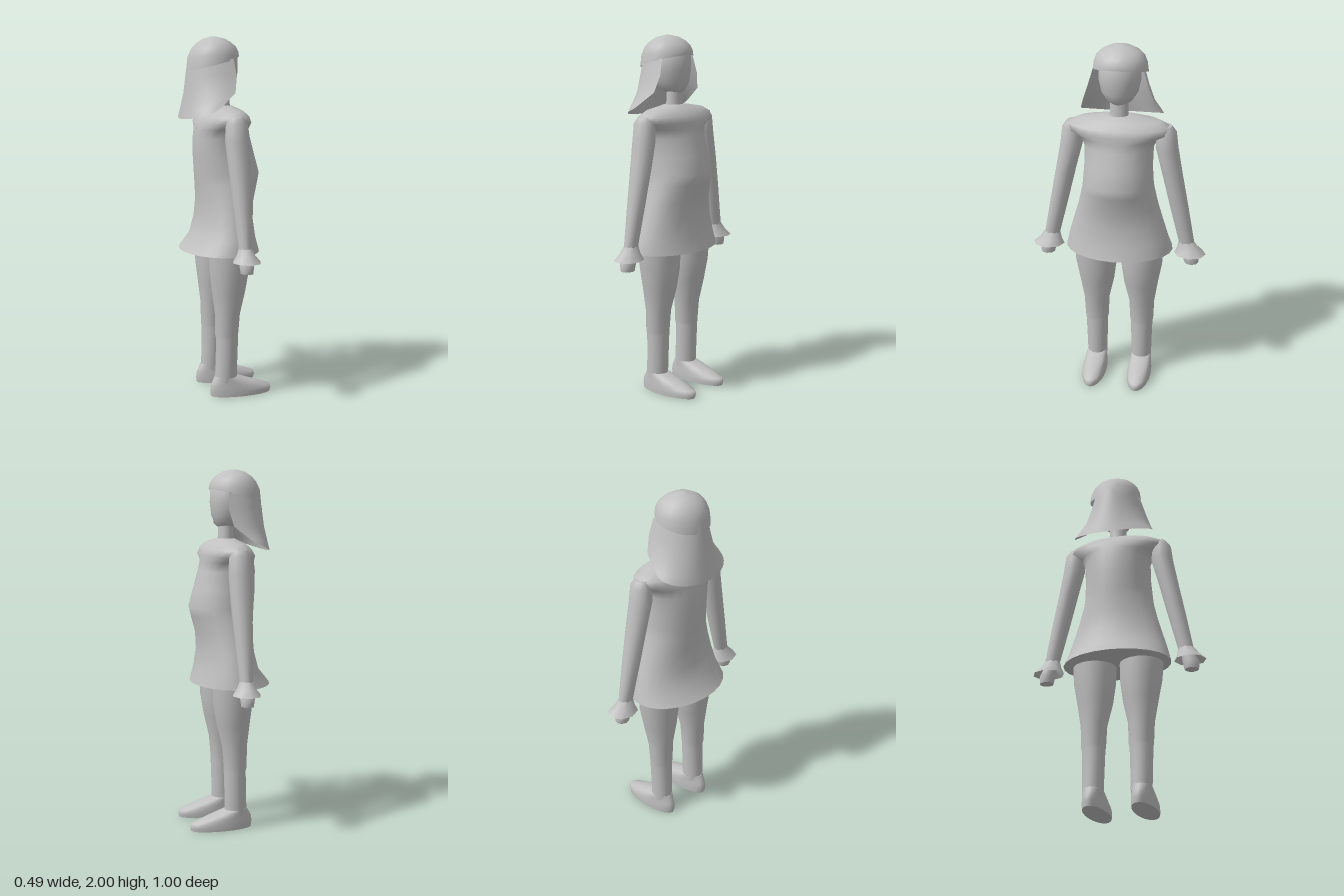
import * as THREE from 'three';

const grey = new THREE.MeshStandardMaterial({ color: 0xc0c0c0, side: THREE.DoubleSide });
grey.name = 'grey';

function makeMesh(name, positions, index) {
  const geometry = new THREE.BufferGeometry();
  geometry.setAttribute('position', new THREE.Float32BufferAttribute(positions, 3));
  geometry.setIndex(index);
  geometry.computeVertexNormals();
  const mesh = new THREE.Mesh(geometry, grey);
  mesh.name = name;
  return mesh;
}

// Skin of elliptical rings, lowest first.
// Ring: [y at back, y at front, x at back, x at front, z centre, z radius]
function loft(name, rings, { sides = 20, bottom = true, top = true } = {}) {
  const positions = [], index = [];
  const addRing = ([yb, yf, xb, xf, zc, rz]) => {
    for (let j = 0; j < sides; j++) {
      const a = (j / sides) * Math.PI * 2, f = (1 + Math.cos(a)) / 2;
      positions.push(xb + (xf - xb) * f, yb + (yf - yb) * f, zc + rz * Math.sin(a));
    }
  };
  rings.forEach(addRing);
  for (let i = 0; i < rings.length - 1; i++) {
    for (let j = 0; j < sides; j++) {
      const a = i * sides + j, b = i * sides + (j + 1) % sides;
      index.push(a, a + sides, b, b, a + sides, b + sides);
    }
  }
  const cap = (r, up) => {
    const start = positions.length / 3, centre = start + sides;
    addRing(r);
    positions.push((r[2] + r[3]) / 2, (r[0] + r[1]) / 2, r[4]);
    for (let j = 0; j < sides; j++) {
      const a = start + j, b = start + (j + 1) % sides;
      index.push(centre, up ? b : a, up ? a : b);
    }
  };
  if (bottom) cap(rings[0], false);
  if (top) cap(rings[rings.length - 1], true);
  return makeMesh(name, positions, index);
}

// Level rings: [y, x at back, x at front, z centre, z radius]
const level = (rows, side = 1) => rows.map(([y, xb, xf, zc, rz]) => [y, y, xb, xf, zc * side, rz]);

// Hanging hair open at the face.
// Row: [y at back, y at edge, x at back, x at edge, z at edge]
function hairCurtain(rows, steps = 18) {
  const positions = [], index = [], w = steps + 1;
  rows.forEach(([yb, ye, xb, xe, ze]) => {
    for (let j = 0; j <= steps; j++) {
      const a = (j / steps - 0.5) * Math.PI, f = 1 - Math.cos(a);
      positions.push(xb + (xe - xb) * f, yb + (ye - yb) * f, ze * Math.sin(a));
    }
  });
  for (let i = 0; i < rows.length - 1; i++) {
    for (let j = 0; j < steps; j++) {
      const a = i * w + j;
      index.push(a, a + w, a + 1, a + 1, a + w, a + w + 1);
    }
  }
  return makeMesh('hairCurtain', positions, index);
}

export function createModel() {
  const model = new THREE.Group();
  model.name = 'standingWoman';

  // Flared dress with shoulders
  model.add(loft('dress', level([
    [0.82, -0.24, 0.195, 0, 0.305],
    [0.9, -0.175, 0.17, 0, 0.284],
    [1.0, -0.15, 0.157, 0, 0.255],
    [1.1, -0.145, 0.165, 0, 0.226],
    [1.2, -0.153, 0.193, 0, 0.203],
    [1.25, -0.157, 0.205, 0, 0.196],
    [1.35, -0.163, 0.178, 0, 0.19],
    [1.45, -0.163, 0.15, 0, 0.192],
    [1.5, -0.152, 0.136, 0, 0.215],
    [1.535, -0.148, 0.14, 0, 0.285],
    [1.57, -0.125, 0.125, 0, 0.285],
    [1.6, -0.095, 0.095, 0, 0.225],
    [1.625, -0.05, 0.05, 0, 0.065],
  ]), { sides: 24 }));

  // Neck and head
  model.add(loft('neck', level([
    [1.58, -0.055, 0.05, 0, 0.06],
    [1.64, -0.045, 0.04, 0, 0.05],
    [1.75, -0.045, 0.04, 0, 0.05],
  ])));
  model.add(loft('head', level([
    [1.69, -0.05, 0.04, 0, 0.04],
    [1.705, -0.085, 0.055, 0, 0.07],
    [1.75, -0.125, 0.076, 0, 0.1],
    [1.82, -0.15, 0.084, 0, 0.116],
    [1.9, -0.15, 0.082, 0, 0.114],
    [1.95, -0.11, 0.04, 0, 0.075],
  ])));

  // Hair: crown and hanging part
  const hair = new THREE.Group();
  hair.name = 'hair';
  hair.add(loft('hairCrown', [
    [1.82, 1.895, -0.2, 0.088, 0, 0.152],
    [1.89, 1.915, -0.193, 0.087, 0, 0.146],
    [1.935, 1.945, -0.172, 0.072, 0, 0.132],
    [1.965, 1.97, -0.145, 0.045, 0, 0.107],
    [1.988, 1.99, -0.11, 0.01, 0, 0.065],
    [2.0, 2.0, -0.065, -0.035, 0, 0.015],
  ], { bottom: false }));
  hair.add(hairCurtain([
    [1.88, 1.88, -0.193, 0.02, 0.138],
    [1.79, 1.79, -0.207, 0.028, 0.165],
    [1.69, 1.7, -0.218, 0.01, 0.196],
    [1.61, 1.63, -0.23, -0.075, 0.224],
    [1.555, 1.608, -0.24, -0.105, 0.23],
  ]));
  model.add(hair);

  // Mirrored limbs; the figure looks along +x
  for (const [word, side] of [['left', -1], ['right', 1]]) {
    const arm = new THREE.Group();
    arm.name = word + 'Arm';
    arm.add(loft('sleeve', level([
      [0.87, -0.035, 0.035, 0.39, 0.043],
      [0.9, -0.036, 0.035, 0.383, 0.044],
      [1.1, -0.05, 0.048, 0.34, 0.051],
      [1.3, -0.062, 0.058, 0.297, 0.056],
      [1.45, -0.07, 0.06, 0.264, 0.062],
      [1.54, -0.065, 0.055, 0.26, 0.055],
      [1.575, -0.045, 0.035, 0.255, 0.035],
    ], side), { sides: 14 }));
    arm.add(loft('cuff', level([
      [0.815, -0.075, 0.08, 0.408, 0.09],
      [0.85, -0.05, 0.052, 0.397, 0.063],
      [0.89, -0.035, 0.035, 0.386, 0.044],
    ], side), { sides: 8, bottom: false, top: false }));
    arm.add(loft('hand', level([
      [0.757, -0.035, 0.036, 0.416, 0.04],
      [0.8, -0.042, 0.042, 0.413, 0.047],
      [0.87, -0.03, 0.03, 0.392, 0.035],
    ], side), { sides: 8 }));
    model.add(arm);

    const leg = new THREE.Group();
    leg.name = word + 'Leg';
    leg.add(loft('stocking', level([
      [0.08, -0.085, 0.04, 0.133, 0.057],
      [0.2, -0.08, 0.042, 0.133, 0.06],
      [0.33, -0.078, 0.046, 0.133, 0.064],
      [0.35, -0.083, 0.046, 0.133, 0.068],
      [0.47, -0.084, 0.056, 0.133, 0.073],
      [0.6, -0.1, 0.087, 0.129, 0.098],
      [0.72, -0.113, 0.106, 0.132, 0.117],
      [0.88, -0.12, 0.115, 0.136, 0.125],
    ], side), { sides: 18 }));
    leg.add(loft('shoe', [
      [0, 0, -0.112, 0.24, 0.134 * side, 0.066],
      [0.03, 0.02, -0.116, 0.245, 0.134 * side, 0.068],
      [0.06, 0.042, -0.114, 0.238, 0.134 * side, 0.066],
      [0.085, 0.075, -0.1, 0.145, 0.134 * side, 0.062],
      [0.112, 0.108, -0.086, 0.045, 0.133 * side, 0.057],
    ], { sides: 20 }));
    model.add(leg);
  }
  return model;
}
